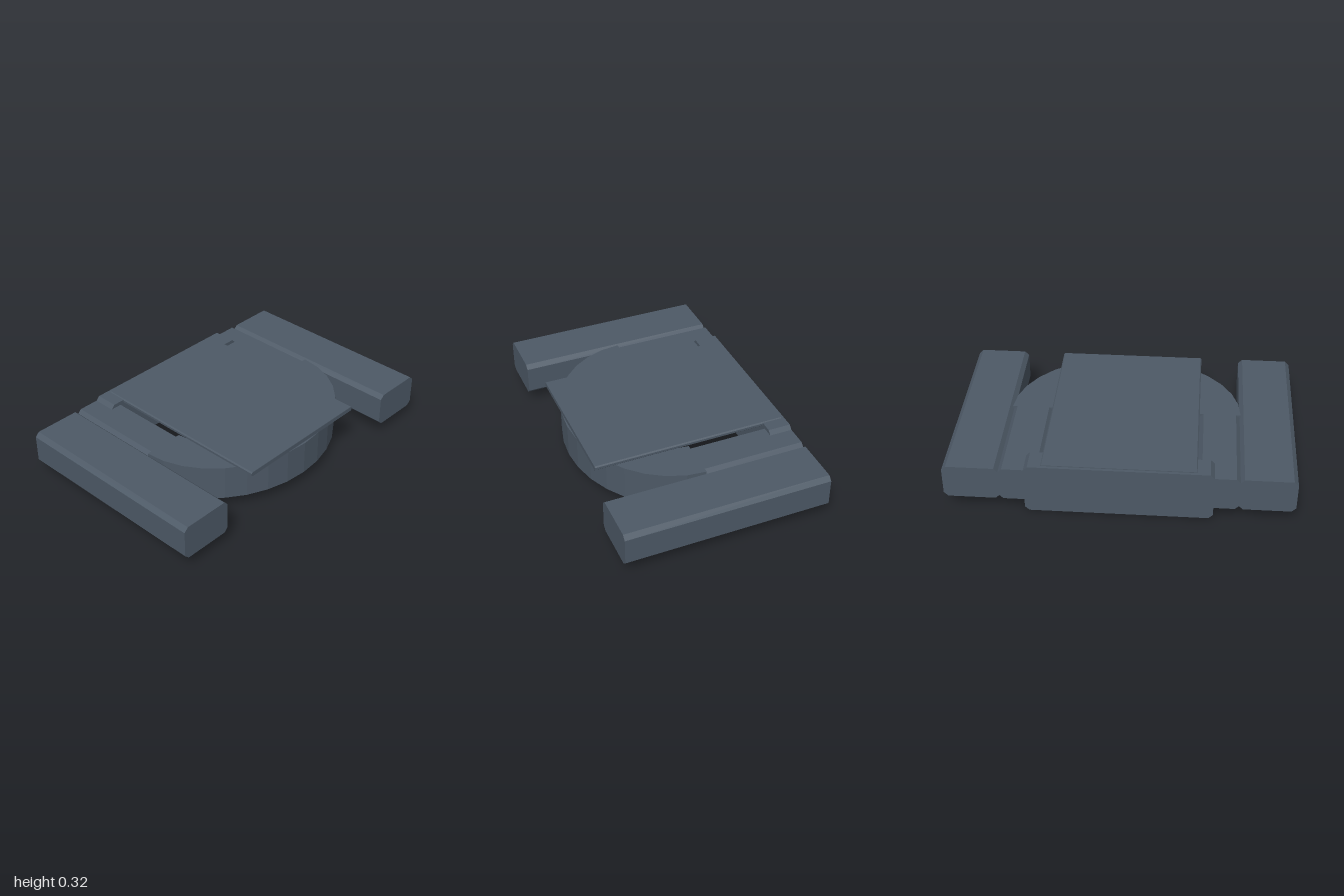
import * as THREE from 'three';

const slate = new THREE.MeshStandardMaterial({ color: 0x4d5966 });
slate.name = 'slate grey';

// Bar along z with an octagonal section: all four long edges are chamfered by c
function chamferedBar(name, [x0, x1], [y0, y1], [z0, z1], c) {
  const s = new THREE.Shape([
    [x0 + c, y0], [x1 - c, y0], [x1, y0 + c], [x1, y1 - c],
    [x1 - c, y1], [x0 + c, y1], [x0, y1 - c], [x0, y0 + c],
  ].map(([x, y]) => new THREE.Vector2(x, y)));
  const g = new THREE.ExtrudeGeometry(s, { depth: z1 - z0, bevelEnabled: false });
  g.translate(0, 0, z0);
  const m = new THREE.Mesh(g, slate);
  m.name = name;
  return m;
}

// Half of an elliptical ring bulging towards +z
function halfRing(name, outer, inner, y0, y1, steps) {
  const arc = ([a, b]) => Array.from({ length: steps + 1 }, (_, i) => {
    const t = (Math.PI * i) / steps;
    return new THREE.Vector2(a * Math.cos(t), -b * Math.sin(t));
  });
  const s = new THREE.Shape([...arc(outer), ...arc(inner).reverse()]);
  const g = new THREE.ExtrudeGeometry(s, { depth: y1 - y0, bevelEnabled: false });
  g.rotateX(-Math.PI / 2); // drawn -y becomes +z, depth becomes height
  g.translate(0, y0, 0);
  const m = new THREE.Mesh(g, slate);
  m.name = name;
  return m;
}

export function createModel() {
  const model = new THREE.Group();
  model.name = 'bracket';
  const body = [0.078, 0.288];

  // Mirrored outer rails and the straight arms of the ring
  for (const [side, k] of [['left', 1], ['right', -1]]) {
    const span = (a, b) => (k > 0 ? [a, b] : [-b, -a]);
    model.add(chamferedBar(side + 'Rail', span(0.677, 1), body, [-0.612, 0.612], 0.025));
    model.add(chamferedBar(side + 'Arm', span(0.44, 0.683), body, [-0.612, 0], 0.025));
  }

  // Rounded front of the ring
  model.add(halfRing('frontRing', [0.685, 0.58], [0.44, 0.37], body[0], body[1], 16));

  // Rear cross block, deeper than the rest
  model.add(chamferedBar('rearBlock', [-0.537, 0.537], [0, 0.311], [-0.612, -0.474], 0.025));

  // Thin cover plate on top and narrow bar underneath
  model.add(chamferedBar('topPlate', [-0.441, 0.441], [0.289, 0.316], [-0.595, 0.569], 0.007));
  model.add(chamferedBar('lowerBar', [-0.08, 0.08], [0.031, 0.078], [-0.4, 0.388], 0.01));

  return model;
}
